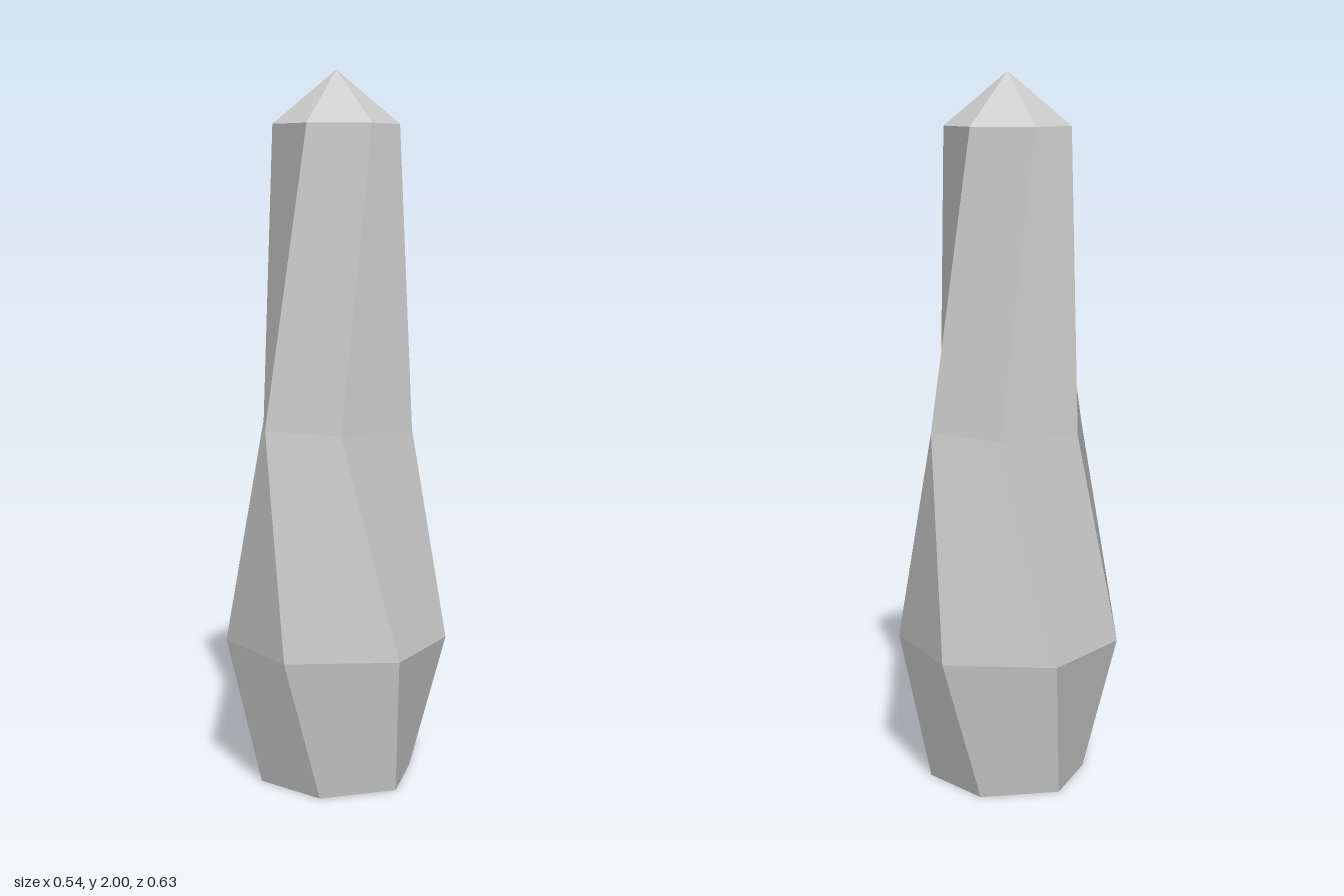
import * as THREE from 'three';

const SIDES = 6;
// Cross-sections from the ground up: height, radius, twist in degrees
const RINGS = [
  [0, 0.224, 15],
  [0.4, 0.314, 30],
  [1.018, 0.234, 60],
  [1.853, 0.176, 30],
];

function ringPoint([y, radius, twist], k) {
  const a = THREE.MathUtils.degToRad(twist + (k * 360) / SIDES);
  return new THREE.Vector3(radius * Math.cos(a), y, radius * Math.sin(a));
}

// Builds a mesh from flat-looking facets; slightly warped quads keep a single normal
function facetMesh(name, facets, material) {
  const positions = [];
  const normals = [];
  for (const f of facets) {
    const last = f[f.length - 1];
    const quad = f.length === 4;
    const u = f[quad ? 2 : 1].clone().sub(f[0]);
    const v = last.clone().sub(quad ? f[1] : f[0]);
    const n = u.cross(v).normalize();
    for (let i = 1; i < f.length - 1; i++) {
      for (const p of [f[0], f[i], f[i + 1]]) {
        positions.push(p.x, p.y, p.z);
        normals.push(n.x, n.y, n.z);
      }
    }
  }
  const geometry = new THREE.BufferGeometry();
  geometry.setAttribute('position', new THREE.Float32BufferAttribute(positions, 3));
  geometry.setAttribute('normal', new THREE.Float32BufferAttribute(normals, 3));
  const mesh = new THREE.Mesh(geometry, material);
  mesh.name = name;
  return mesh;
}

export function createModel() {
  const group = new THREE.Group();
  group.name = 'crystal';
  const material = new THREE.MeshStandardMaterial({ color: 0xcccccc });

  const shaft = [];
  const tip = [];
  const base = [];
  const apex = new THREE.Vector3(0, 2, 0);
  const foot = new THREE.Vector3(0, 0, 0);
  const top = RINGS[RINGS.length - 1];

  for (let k = 0; k < SIDES; k++) {
    // Twisted shaft facets, all split along the same diagonal
    for (let r = 0; r < RINGS.length - 1; r++) {
      shaft.push([
        ringPoint(RINGS[r + 1], k),
        ringPoint(RINGS[r + 1], k + 1),
        ringPoint(RINGS[r], k + 1),
        ringPoint(RINGS[r], k),
      ]);
    }
    // Pointed tip and flat base
    tip.push([ringPoint(top, k), apex, ringPoint(top, k + 1)]);
    base.push([ringPoint(RINGS[0], k), ringPoint(RINGS[0], k + 1), foot]);
  }

  group.add(
    facetMesh('shaft', shaft, material),
    facetMesh('tip', tip, material),
    facetMesh('base', base, material)
  );
  return group;
}
